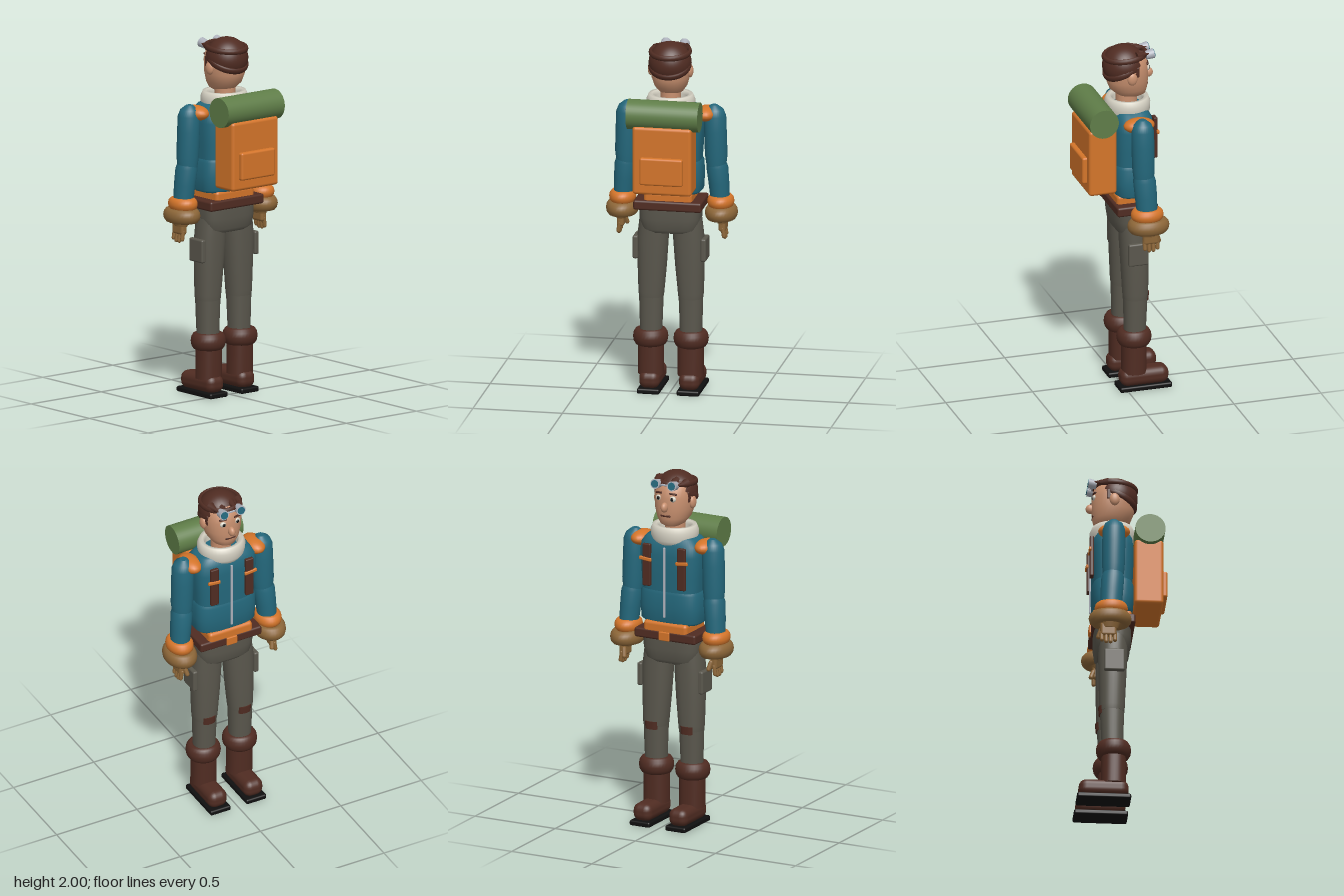
import * as THREE from 'three';
import { RoundedBoxGeometry } from 'three/addons/geometries/RoundedBoxGeometry.js';

const colours = {
  skin: 0xc8906f, leather: 0x502c22, teal: 0x24687c, orange: 0xd4752a, tan: 0x8c6638,
  grey: 0x5a574d, green: 0x5f7d48, cream: 0xd4d0c2, black: 0x101010, silver: 0xaeb2bc,
};

export function createModel() {
  const root = new THREE.Group();
  root.name = 'explorer';
  const mats = {};
  for (const [name, color] of Object.entries(colours)) {
    mats[name] = new THREE.MeshStandardMaterial({ color });
    mats[name].name = name;
  }

  const add = (name, geo, mat, pos = [0, 0, 0], rot = [0, 0, 0], scale = [1, 1, 1]) => {
    const m = new THREE.Mesh(geo, mats[mat]);
    m.name = name;
    m.position.set(...pos);
    m.rotation.set(...rot);
    m.scale.set(...scale);
    root.add(m);
    return m;
  };
  const box = (name, mat, size, pos, r = 0.01, rot) =>
    add(name, new RoundedBoxGeometry(...size, 3, r), mat, pos, rot);
  const ball = (name, mat, radii, pos, rot) =>
    add(name, new THREE.SphereGeometry(1, 24, 16), mat, pos, rot, radii);
  // Horizontal ring with an oval outline; a is the half width, b the half depth
  const ring = (name, mat, a, b, tube, height, pos, rotX = 0) => {
    const g = new THREE.TorusGeometry(1, tube / a, 12, 32);
    g.rotateX(Math.PI / 2);
    g.scale(a, height / (tube / a), b);
    return add(name, g, mat, pos, [rotX, 0, 0]);
  };

  // Closed body through rounded sections [y, cx, cz, rx, rz], from bottom to top
  const loft = (name, mat, sections, power = 2, n = 32) => {
    const first = sections[0], last = sections[sections.length - 1];
    const point = (s) => [s[0], s[1], s[2], 0, 0];
    const rows = [point(first), first, ...sections, last, point(last)];
    const pos = [], idx = [];
    const curve = (v) => Math.sign(v) * Math.abs(v) ** (2 / power);
    rows.forEach(([y, cx, cz, rx, rz], i) => {
      for (let j = 0; j < n; j++) {
        const a = (j / n) * Math.PI * 2, k = (j + 1) % n;
        pos.push(cx + rx * curve(Math.cos(a)), y, cz + rz * curve(Math.sin(a)));
        if (i < rows.length - 1) {
          const p = i * n + j, q = i * n + k;
          idx.push(p, p + n, q, q, p + n, q + n);
        }
      }
    });
    const g = new THREE.BufferGeometry();
    g.setAttribute('position', new THREE.Float32BufferAttribute(pos, 3));
    g.setIndex(idx);
    g.computeVertexNormals();
    return add(name, g, mat);
  };

  // Head and face, looking along -z
  loft('neck', 'skin', [[1.58, 0, -0.04, 0.056, 0.058], [1.77, 0, -0.04, 0.056, 0.06]]);
  loft('head', 'skin', [
    [1.7, 0, -0.07, 0.04, 0.05], [1.715, 0, -0.065, 0.066, 0.08], [1.75, 0, -0.05, 0.09, 0.105],
    [1.8, 0, -0.043, 0.105, 0.117], [1.87, 0, -0.04, 0.111, 0.12], [1.93, 0, -0.035, 0.1, 0.113],
    [1.97, 0, -0.03, 0.06, 0.07],
  ], 2.1);
  ball('nose', 'skin', [0.019, 0.028, 0.027], [0, 1.82, -0.165]);
  box('mouth', 'leather', [0.06, 0.012, 0.01], [0, 1.768, -0.152], 0.004);

  // Hair: a tilted cap with tufts over the forehead
  const cap = new THREE.SphereGeometry(0.118, 32, 18, 0, Math.PI * 2, 0, Math.PI * 0.54);
  cap.scale(1, 0.97, 1);
  add('hair', cap, 'leather', [0, 1.885, -0.023], [0.45, 0, 0]);
  ring('hairRim', 'leather', 0.111, 0.112, 0.009, 0.018, [0, 1.872, -0.02], 0.45);
  [-0.08, -0.03, 0.025, 0.075].forEach((x, i) => {
    add('hairTuft', new THREE.ConeGeometry(0.026, 0.085, 8), 'leather',
      [x, 1.95 + (i % 2) * 0.008, -0.115 - (i === 1 || i === 2 ? 0.012 : 0)], [-1.5, 0, (i - 1.5) * 0.1]);
  });
  ring('goggleStrap', 'leather', 0.108, 0.116, 0.011, 0.016, [0, 1.943, -0.03], 0.08);
  box('goggleBridge', 'silver', [0.05, 0.012, 0.012], [0, 1.945, -0.155], 0.004);

  // Jacket
  loft('jacket', 'teal', [
    [1.3, 0, -0.048, 0.17, 0.108], [1.42, 0, -0.048, 0.178, 0.114], [1.54, 0, -0.048, 0.186, 0.117],
    [1.6, 0, -0.048, 0.18, 0.11], [1.635, 0, -0.048, 0.15, 0.09], [1.65, 0, -0.048, 0.1, 0.07],
  ], 3.4, 48);
  loft('jacketHem', 'teal', [
    [1.15, 0, -0.048, 0.165, 0.098], [1.165, 0, -0.048, 0.18, 0.11], [1.24, 0, -0.048, 0.184, 0.117],
    [1.32, 0, -0.048, 0.181, 0.116], [1.345, 0, -0.048, 0.168, 0.106],
  ], 3.4, 48);
  box('zip', 'silver', [0.012, 0.4, 0.01], [0, 1.39, -0.167], 0.003);

  // Open fleece collar
  const collar = [[0.088, 1.6], [0.118, 1.595], [0.133, 1.625], [0.135, 1.67], [0.122, 1.7],
    [0.102, 1.7], [0.09, 1.68], [0.088, 1.6]].map((p) => new THREE.Vector2(...p));
  add('collar', new THREE.LatheGeometry(collar, 40), 'cream', [0, 0, -0.045], [0, 0, 0], [1, 1, 0.93]);

  // Waist
  box('waistBand', 'orange', [0.27, 0.07, 0.218], [0, 1.125, -0.055], 0.02);
  box('belt', 'leather', [0.38, 0.055, 0.235], [0, 1.083, -0.048], 0.012);
  box('buckle', 'orange', [0.065, 0.05, 0.014], [0, 1.083, -0.168], 0.005);
  loft('hips', 'grey', [
    [0.92, 0, -0.048, 0.14, 0.08], [0.94, 0, -0.048, 0.16, 0.095],
    [1.0, 0, -0.048, 0.17, 0.103], [1.07, 0, -0.048, 0.172, 0.103],
  ], 3.2);

  // Backpack and bedroll
  box('backpack', 'orange', [0.33, 0.385, 0.16], [0, 1.382, 0.145], 0.018);
  box('backpackPocket', 'orange', [0.24, 0.155, 0.045], [0, 1.328, 0.228], 0.012);
  add('bedroll', new THREE.CylinderGeometry(0.083, 0.083, 0.4, 40), 'green',
    [0, 1.627, 0.15], [0, 0, Math.PI / 2]);

  for (const s of [-1, 1]) {
    // Face details and goggles
    ball('ear', 'skin', [0.018, 0.037, 0.028], [s * 0.109, 1.836, -0.04]);
    ball('eye', 'cream', [0.02, 0.017, 0.012], [s * 0.042, 1.868, -0.147]);
    ball('pupil', 'black', [0.009, 0.01, 0.005], [s * 0.042, 1.868, -0.158]);
    box('eyebrow', 'leather', [0.045, 0.01, 0.012], [s * 0.043, 1.897, -0.147], 0.004, [0, s * -0.2, s * -0.1]);
    box('sideburn', 'leather', [0.016, 0.06, 0.03], [s * 0.101, 1.87, -0.068], 0.006);
    add('goggleRim', new THREE.CylinderGeometry(0.028, 0.024, 0.045, 24), 'silver',
      [s * 0.052, 1.948, -0.157], [-1.4, 0, 0]);
    add('goggleLens', new THREE.CylinderGeometry(0.021, 0.021, 0.006, 24), 'teal',
      [s * 0.052, 1.952, -0.181], [-1.4, 0, 0]);

    // Chest straps
    box('chestStrap', 'leather', [0.048, 0.24, 0.022], [s * 0.108, 1.48, -0.167], 0.006);
    box('strapBand', 'orange', [0.075, 0.02, 0.014], [s * 0.113, 1.515, -0.177], 0.005, [0, 0, s * 0.1]);
    ball('shoulderPatch', 'orange', [0.058, 0.042, 0.088], [s * 0.198, 1.597, -0.05]);

    // Sleeve, cuff and glove
    loft('upperArm', 'teal', [
      [1.27, s * 0.252, -0.06, 0.05, 0.053], [1.36, s * 0.251, -0.058, 0.062, 0.062],
      [1.5, s * 0.247, -0.056, 0.062, 0.064], [1.585, s * 0.245, -0.055, 0.061, 0.062],
      [1.62, s * 0.243, -0.055, 0.049, 0.05], [1.645, s * 0.24, -0.055, 0.02, 0.02],
    ]);
    loft('forearm', 'teal', [
      [1.08, s * 0.272, -0.074, 0.052, 0.056], [1.2, s * 0.264, -0.068, 0.057, 0.062],
      [1.29, s * 0.256, -0.062, 0.06, 0.063], [1.33, s * 0.253, -0.06, 0.05, 0.052],
    ]);
    ring('sleeveCuff', 'orange', 0.05, 0.062, 0.024, 0.035, [s * 0.274, 1.095, -0.072]);
    ring('gloveCuff', 'tan', 0.064, 0.084, 0.026, 0.04, [s * 0.276, 1.03, -0.078]);
    loft('gloveWrist', 'tan', [[0.97, s * 0.282, -0.08, 0.028, 0.045], [1.06, s * 0.276, -0.078, 0.06, 0.075]]);
    box('palm', 'tan', [0.04, 0.08, 0.09], [s * 0.284, 0.962, -0.088], 0.015);
    for (let i = 0; i < 4; i++) {
      const short = i === 0 || i === 3 ? 0.01 : 0;
      add('finger', new THREE.CapsuleGeometry(0.0115, 0.055 - short, 4, 10), 'tan',
        [s * 0.291, 0.915 + short / 2, -0.053 - i * 0.024], [0, 0, s * 0.16]);
    }
    add('thumb', new THREE.CapsuleGeometry(0.013, 0.04, 4, 10), 'tan',
      [s * 0.267, 0.945, -0.135], [0.35, 0, s * -0.2]);

    // Trousers
    loft('thigh', 'grey', [
      [0.54, s * 0.11, -0.055, 0.068, 0.067], [0.57, s * 0.11, -0.055, 0.071, 0.07],
      [0.72, s * 0.105, -0.053, 0.08, 0.075], [0.88, s * 0.1, -0.05, 0.086, 0.08],
      [1.0, s * 0.092, -0.048, 0.08, 0.08],
    ], 2.3);
    loft('shin', 'grey', [
      [0.3, s * 0.111, -0.052, 0.059, 0.058], [0.45, s * 0.111, -0.054, 0.064, 0.063],
      [0.58, s * 0.11, -0.055, 0.068, 0.068],
    ], 2.3);
    box('thighPocket', 'grey', [0.03, 0.13, 0.115], [s * 0.19, 0.825, -0.048], 0.01);
    loft('kneePatch', 'leather', [
      [0.525, s * 0.11, -0.088, 0.042, 0.04], [0.57, s * 0.11, -0.088, 0.045, 0.043],
    ], 2.6);

    // Boots
    loft('bootShaft', 'leather', [
      [0.1, s * 0.111, -0.047, 0.071, 0.068], [0.33, s * 0.111, -0.047, 0.071, 0.068],
    ], 2.3);
    ring('bootCuff', 'leather', 0.068, 0.068, 0.029, 0.048, [s * 0.113, 0.31, -0.047]);
    box('bootFoot', 'leather', [0.115, 0.1, 0.275], [s * 0.111, 0.073, -0.102], 0.042);
    box('bootSole', 'black', [0.126, 0.03, 0.298], [s * 0.111, 0.015, -0.102], 0.01);
  }
  return root;
}
